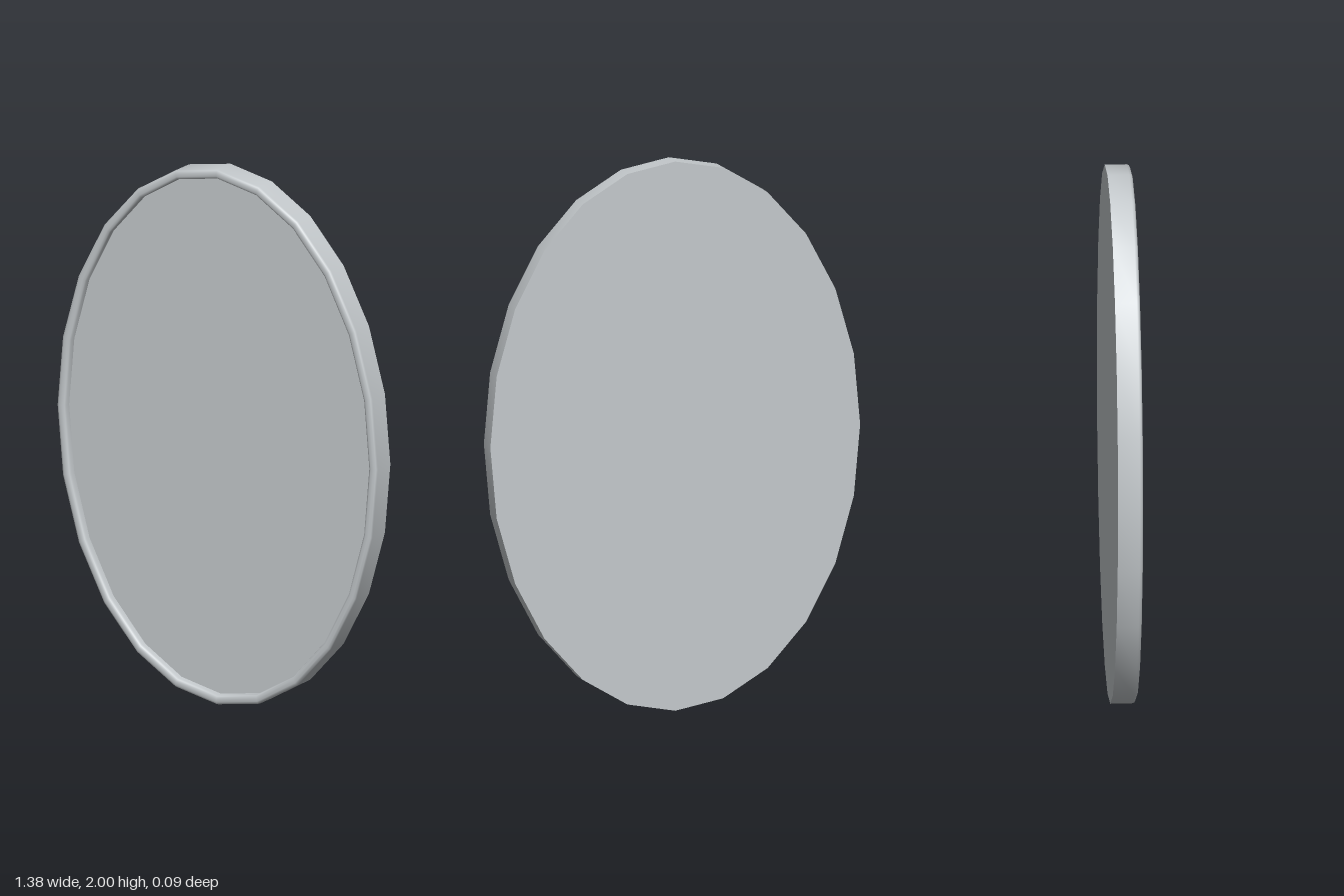
import * as THREE from 'three';

const SIDES = 24;
const RX = 0.69, RY = 1, HALF = 0.045, RIM = 0.035, PANEL_Z = 0.015;

// Point on the oval, moved inward by an inset
function ovalPoint(i, inset) {
  const a = (i / SIDES) * Math.PI * 2;
  return new THREE.Vector2(Math.cos(a) * (RX - inset), Math.sin(a) * (RY - inset));
}

// Closed band swept round the oval; profile is a list of [inset, z]
function ovalBand(profile) {
  const positions = [], index = [];
  profile.forEach(([inset, z], j) => {
    for (let i = 0; i < SIDES; i++) {
      const p = ovalPoint(i, inset);
      positions.push(p.x, p.y, z);
      if (j === profile.length - 1) continue;
      const a = j * SIDES + i, b = j * SIDES + ((i + 1) % SIDES);
      index.push(a, b, b + SIDES, a, b + SIDES, a + SIDES);
    }
  });
  const geometry = new THREE.BufferGeometry();
  geometry.setAttribute('position', new THREE.Float32BufferAttribute(positions, 3));
  geometry.setIndex(index);
  geometry.computeVertexNormals();
  return geometry;
}

// Flat oval plate facing +z
function ovalPlate(inset) {
  const points = [];
  for (let i = 0; i < SIDES; i++) points.push(ovalPoint(i, inset));
  return new THREE.ShapeGeometry(new THREE.Shape(points));
}

export function createModel() {
  const group = new THREE.Group();
  const silver = new THREE.MeshStandardMaterial({ color: 0xc4c9cc });
  silver.name = 'silver';

  const add = (name, geometry) => {
    const mesh = new THREE.Mesh(geometry, silver);
    mesh.name = name;
    mesh.position.y = RY;
    group.add(mesh);
    return mesh;
  };

  // Outer wall rolling over a rounded lip to the inner edge
  add('frame', ovalBand([
    [0, -HALF], [0, HALF - 0.012], [0.003, HALF - 0.004], [0.011, HALF],
    [0.024, HALF], [0.032, HALF - 0.004], [RIM, HALF - 0.012], [RIM, PANEL_Z],
  ]));

  // Recessed front panel
  add('mirrorPanel', ovalPlate(RIM)).position.z = PANEL_Z;

  // Flat back
  const back = add('backPlate', ovalPlate(0));
  back.rotation.y = Math.PI;
  back.position.z = -HALF;

  return group;
}
